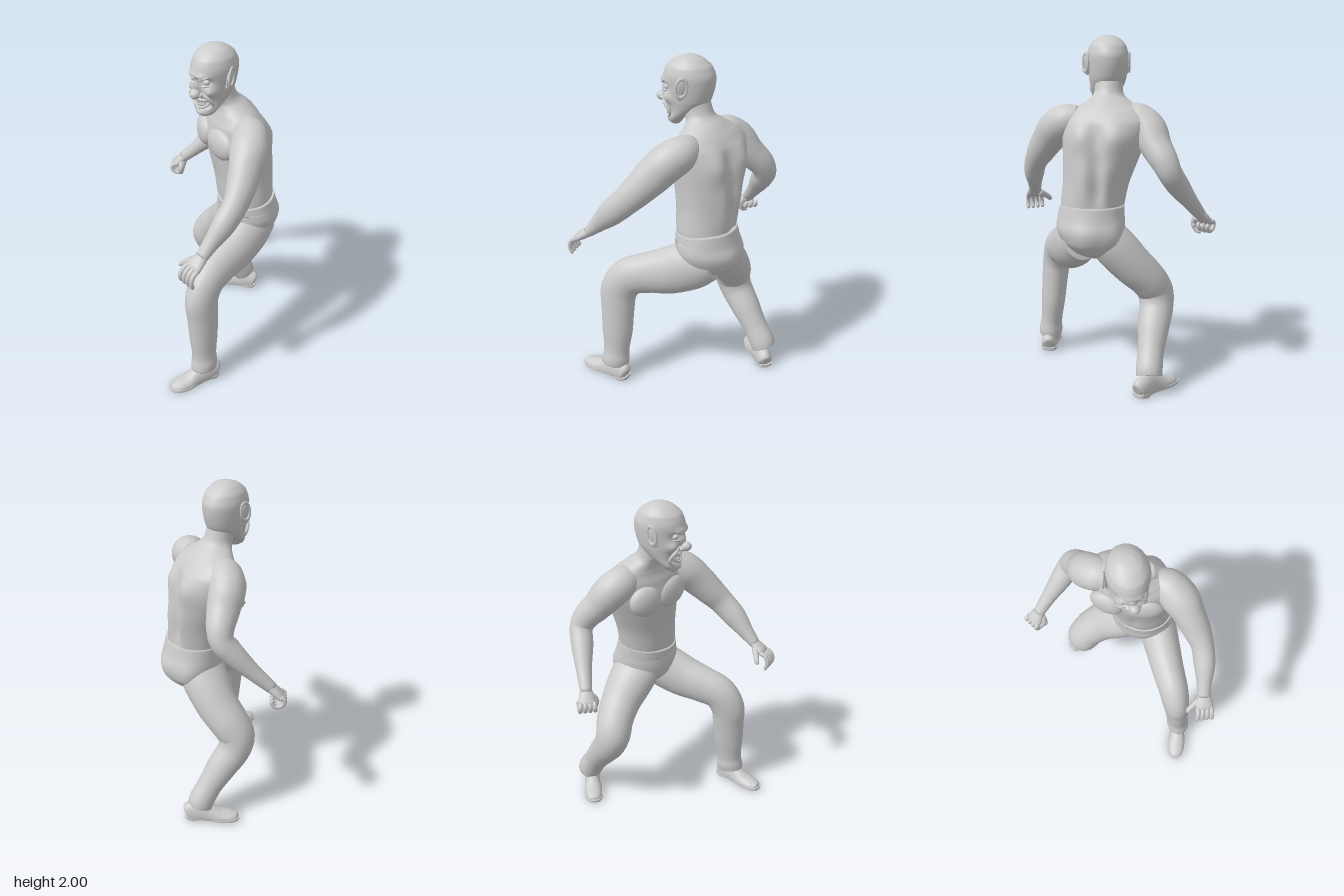
import * as THREE from 'three';

const V = (x, y, z) => new THREE.Vector3(x, y, z);
const grey = new THREE.MeshStandardMaterial({ color: 0xcccccc });

// Smooth skin through stations [x, y, z, radiusA, radiusB, yaw]; axis A follows ref
function loft(st, { ref = V(1, 0, 0), flat = false, segs = 28, per = 7 } = {}) {
  const path = new THREE.CatmullRomCurve3(st.map(s => V(s[0], s[1], s[2])));
  const size = new THREE.CatmullRomCurve3(st.map(s => V(s[3], s[4] ?? s[3], s[5] ?? 0)));
  const n = (st.length - 1) * per, pos = [], idx = [];
  for (let i = 0; i <= n; i++) {
    const p = path.getPoint(i / n), r = size.getPoint(i / n);
    const T = flat ? V(0, 1, 0) : path.getTangent(i / n);
    const A = ref.clone().applyAxisAngle(V(0, 1, 0), r.z);
    A.addScaledVector(T, -A.dot(T)).normalize();
    const B = T.clone().cross(A);
    for (let j = 0; j < segs; j++) {
      const a = j / segs * Math.PI * 2;
      const q = p.clone().addScaledVector(A, Math.max(r.x, 0) * Math.cos(a)).addScaledVector(B, Math.max(r.y, 0) * Math.sin(a));
      pos.push(q.x, q.y, q.z);
      if (i < n) {
        const a0 = i * segs + j, a1 = i * segs + (j + 1) % segs;
        idx.push(a0, a1, a0 + segs, a1, a1 + segs, a0 + segs);
      }
    }
  }
  const c = (n + 1) * segs, e = path.getPoint(1);
  pos.push(st[0][0], st[0][1], st[0][2], e.x, e.y, e.z);
  for (let j = 0; j < segs; j++) {
    const k = (j + 1) % segs;
    idx.push(c, k, j, c + 1, n * segs + j, n * segs + k);
  }
  const g = new THREE.BufferGeometry();
  g.setAttribute('position', new THREE.Float32BufferAttribute(pos, 3));
  g.setIndex(idx);
  g.computeVertexNormals();
  return g;
}

// Push vertices near a point along a vector with a soft falloff
function bump(g, c, r, push) {
  const p = g.attributes.position;
  for (let i = 0; i < p.count; i++) {
    const d = ((p.getX(i) - c[0]) / r[0]) ** 2 + ((p.getY(i) - c[1]) / r[1]) ** 2 + ((p.getZ(i) - c[2]) / r[2]) ** 2;
    const w = Math.exp(-d);
    p.setXYZ(i, p.getX(i) + push[0] * w, p.getY(i) + push[1] * w, p.getZ(i) + push[2] * w);
  }
  g.computeVertexNormals();
}

function add(parent, name, g, pos = [0, 0, 0], rot = [0, 0, 0]) {
  const m = new THREE.Mesh(g, grey);
  m.name = name;
  m.position.set(...pos);
  m.rotation.set(...rot);
  parent.add(m);
  return m;
}
const blob = (parent, name, pos, r, rot) =>
  add(parent, name, new THREE.SphereGeometry(1, 24, 16), pos, rot).scale.set(...r);

// Hand in its own axes: W across the knuckles, N out of the back, T towards the fingers
function hand(root, name, o, T, W, side, finger, thumb) {
  const g = new THREE.Group();
  g.name = name;
  root.add(g);
  T.normalize();
  W.addScaledVector(T, -W.dot(T)).normalize();
  const N = T.clone().cross(W);
  const at = (w, n, t, a, b) => {
    const p = o.clone().addScaledVector(W, w).addScaledVector(N, n).addScaledVector(T, t);
    return [p.x, p.y, p.z, a, b ?? a];
  };
  add(g, 'palm', loft([at(0, 0, -0.02, 0.034, 0.03), at(0, 0, 0.03, 0.046, 0.028), at(0, 0, 0.065, 0.052, 0.024), at(0, 0, 0.085, 0.042, 0.014)], { ref: W, segs: 18 }));
  for (let i = 0; i < 4; i++) {
    const w = (i - 1.5) * 0.026;
    add(g, 'finger', loft(finger.map(([n, t], k) => at(w * (1 + k * 0.06), n, t, k === finger.length - 1 ? 0.007 : 0.0145 - k * 0.0008)), { ref: W, segs: 10, per: 4 }));
  }
  add(g, 'thumb', loft(thumb.map(([w, n, t], k) => at(w * side, n, t, [0.022, 0.018, 0.015, 0.007][k])), { ref: N, segs: 10, per: 4 }));
}

// Shoe pointing along +z, ankle over the origin
function shoe(root, name, pos, yaw) {
  const g = new THREE.Group();
  g.name = name;
  g.position.set(...pos);
  g.rotation.y = yaw;
  root.add(g);
  const upper = loft([
    [0, 0.04, -0.098, 0.02, 0.03], [0, 0.045, -0.085, 0.043, 0.06], [0, 0.04, -0.02, 0.049, 0.088], [0, 0.03, 0.05, 0.05, 0.075],
    [0, 0.025, 0.12, 0.056, 0.045], [0, 0.022, 0.18, 0.05, 0.034], [0, 0.02, 0.215, 0.032, 0.025], [0, 0.02, 0.226, 0.005, 0.005]]);
  const p = upper.attributes.position;
  for (let i = 0; i < p.count; i++) p.setY(i, Math.max(p.getY(i), 0.015));
  upper.computeVertexNormals();
  add(g, 'shoeUpper', upper);
  const half = [[0.03, 0.1], [0.048, 0.07], [0.046, 0], [0.05, -0.06], [0.061, -0.12], [0.052, -0.19], [0.025, -0.228]];
  const outline = [...half, ...half.map(([x, y]) => [-x, y]).reverse()].map(q => new THREE.Vector2(...q));
  const shape = new THREE.Shape(new THREE.SplineCurve([...outline, outline[0]]).getPoints(48));
  const sole = new THREE.ExtrudeGeometry(shape, { depth: 0.014, bevelEnabled: false });
  add(g, 'sole', sole.rotateX(-Math.PI / 2), [0, 0.01, 0]);
  add(g, 'heel', new THREE.CylinderGeometry(0.047, 0.047, 0.02, 24), [0, 0.01, -0.052]);
}

function buildHead(root) {
  const head = new THREE.Group();
  head.name = 'head';
  head.position.x = 0.07;
  root.add(head);
  // Rows: height, back z, front z, half width
  const rows = [[1.605, 0, 0.045, 0.025], [1.622, -0.015, 0.058, 0.055], [1.65, -0.04, 0.063, 0.075], [1.7, -0.12, 0.066, 0.092], [1.75, -0.175, 0.076, 0.104],
    [1.82, -0.198, 0.085, 0.113], [1.88, -0.204, 0.092, 0.117], [1.94, -0.18, 0.072, 0.104], [1.98, -0.13, 0.02, 0.07], [1.996, -0.09, -0.025, 0.035], [2, -0.06, -0.055, 0.003]];
  const skull = loft(rows.map(([y, b, f, w]) => [0, y, (b + f) / 2, w, (f - b) / 2]), { flat: true, segs: 64, per: 8 });
  bump(skull, [0, 1.69, 0.07], [0.058, 0.024, 0.06], [0, 0, -0.035]);
  bump(skull, [0, 1.8, 0.09], [0.02, 0.045, 0.05], [0, 0, 0.022]);
  bump(skull, [0, 1.63, 0.06], [0.035, 0.02, 0.05], [0, 0, 0.012]);
  for (const s of [-1, 1]) {
    bump(skull, [s * 0.045, 1.828, 0.08], [0.028, 0.02, 0.06], [0, 0, -0.026]);
    bump(skull, [s * 0.04, 1.862, 0.09], [0.035, 0.014, 0.05], [0, -0.006, 0.018]);
    bump(skull, [s * 0.07, 1.768, 0.05], [0.028, 0.026, 0.05], [s * 0.008, 0, 0.022]);
    blob(head, 'eyeball', [s * 0.044, 1.825, 0.056], [0.021, 0.018, 0.02]);
    blob(head, 'brow', [s * 0.042, 1.852, 0.078], [0.034, 0.009, 0.016], [0, s * 0.45, s * 0.4]);
    blob(head, 'lowerLid', [s * 0.046, 1.805, 0.067], [0.026, 0.007, 0.012], [0, s * 0.45, s * 0.15]);
    blob(head, 'nostril', [s * 0.026, 1.752, 0.086], [0.017, 0.014, 0.02]);
    add(head, 'cheekFold', loft([[s * 0.028, 1.765, 0.078, 0.006], [s * 0.062, 1.737, 0.067, 0.011], [s * 0.077, 1.69, 0.036, 0.009], [s * 0.05, 1.65, 0.047, 0.005]], { ref: V(0, 0, 1), segs: 10 }));
    // Ear: shell, rim and lobe
    blob(head, 'ear', [s * 0.119, 1.838, -0.045], [0.013, 0.055, 0.032], [0, s * 0.3, -s * 0.15]);
    const rim = add(head, 'earRim', new THREE.TorusGeometry(0.03, 0.007, 8, 24), [s * 0.128, 1.845, -0.048], [0, s * (Math.PI / 2 + 0.3), -s * 0.15]);
    rim.scale.y = 1.7;
    blob(head, 'earLobe', [s * 0.115, 1.79, -0.032], [0.01, 0.016, 0.014]);
  }
  blob(head, 'nose', [0.004, 1.758, 0.103], [0.029, 0.027, 0.031]);
  // Grinning mouth
  const arc = (y, lift, z) => [-1, -0.5, 0, 0.5, 1].map(u => [u * 0.064, y + lift * u * u, z - 0.03 * u * u, 0.008]);
  add(head, 'upperLip', loft(arc(1.715, 0.002, 0.07), { ref: V(0, 0, 1), segs: 10 }));
  add(head, 'lowerLip', loft(arc(1.663, 0.046, 0.066), { ref: V(0, 0, 1), segs: 10 }));
  for (let i = -3; i <= 3; i++) {
    const u = i / 3.6;
    blob(head, 'upperTooth', [u * 0.056, 1.704, 0.063 - 0.024 * u * u], [0.0075, 0.014, 0.007]);
    blob(head, 'lowerTooth', [u * 0.05, 1.677 + 0.02 * u * u, 0.06 - 0.022 * u * u], [0.007, 0.011, 0.007]);
  }
  add(head, 'skull', skull);
}

export function createModel() {
  const root = new THREE.Group();
  root.name = 'lungingFigure';
  buildHead(root);

  // Torso and neck, turned towards the model's right
  const torso = loft([
    [0.2, 1.0, -0.2, 0.18, 0.155, -0.45], [0.195, 1.06, -0.195, 0.183, 0.16, -0.45], [0.175, 1.18, -0.195, 0.19, 0.165, -0.47],
    [0.15, 1.3, -0.195, 0.212, 0.175, -0.47], [0.125, 1.43, -0.19, 0.24, 0.175, -0.47], [0.11, 1.53, -0.185, 0.25, 0.148, -0.47],
    [0.1, 1.59, -0.175, 0.2, 0.12, -0.45], [0.09, 1.64, -0.15, 0.12, 0.098, -0.35], [0.08, 1.68, -0.115, 0.084, 0.085, -0.15], [0.07, 1.77, -0.085, 0.078, 0.082, 0]],
  { flat: true, segs: 56 });
  for (const y of [1.15, 1.3, 1.45]) bump(torso, [0.21, y, -0.35], [0.035, 0.09, 0.07], [-0.011, 0, 0.022]);
  for (const s of [-1, 1]) {
    bump(torso, [0.2 + s * 0.1, 1.46, -0.33 + s * 0.05], [0.07, 0.09, 0.07], [0.011, 0, -0.022]);
    bump(torso, [0.215 + s * 0.06, 1.2, -0.35 + s * 0.03], [0.045, 0.13, 0.06], [0.006, 0, -0.012]);
  }
  bump(torso, [0.115, 1.17, -0.04], [0.025, 0.14, 0.06], [0.004, 0, -0.008]);
  add(root, 'torso', torso);
  blob(root, 'leftPectoral', [0.15, 1.425, -0.025], [0.122, 0.092, 0.05], [0, -0.3, 0.1]);
  blob(root, 'rightPectoral', [-0.035, 1.425, -0.1], [0.1, 0.092, 0.05], [0, -0.65, -0.1]);

  // Trousers
  const pelvis = loft([
    [0.19, 0.755, -0.23, 0.05, 0.05, -0.4], [0.195, 0.79, -0.225, 0.12, 0.12, -0.4], [0.205, 0.85, -0.215, 0.175, 0.165, -0.4],
    [0.212, 0.92, -0.21, 0.195, 0.18, -0.42], [0.208, 0.98, -0.205, 0.194, 0.173, -0.45], [0.2, 1.06, -0.198, 0.187, 0.166, -0.45]],
  { flat: true, segs: 48 });
  const pp = pelvis.attributes.position;
  for (let i = 0; i < pp.count; i++) if (pp.getY(i) > 1) pp.setY(i, pp.getY(i) - Math.max(0, pp.getZ(i) + 0.25) * 0.12);
  pelvis.computeVertexNormals();
  bump(pelvis, [0.28, 0.87, -0.38], [0.09, 0.1, 0.1], [0.01, 0, -0.02]);
  bump(pelvis, [0.1, 0.87, -0.38], [0.09, 0.1, 0.1], [-0.005, 0, -0.03]);
  add(root, 'trouserSeat', pelvis);
  add(root, 'leftTrouserLeg', loft([
    [0.265, 0.87, -0.24, 0.115, 0.125], [0.285, 0.825, -0.13, 0.118, 0.15], [0.295, 0.77, 0, 0.11, 0.143], [0.3, 0.735, 0.13, 0.1, 0.125],
    [0.31, 0.69, 0.25, 0.092, 0.115], [0.318, 0.6, 0.307, 0.086, 0.112], [0.33, 0.48, 0.315, 0.08, 0.102],
    [0.343, 0.33, 0.318, 0.074, 0.095], [0.355, 0.19, 0.325, 0.066, 0.08], [0.36, 0.13, 0.33, 0.073, 0.085], [0.362, 0.095, 0.335, 0.07, 0.086]]));
  add(root, 'rightTrouserLeg', loft([
    [0.14, 0.88, -0.23, 0.12, 0.15], [0.07, 0.8, -0.255, 0.125, 0.145], [-0.02, 0.7, -0.28, 0.118, 0.128], [-0.11, 0.61, -0.283, 0.108, 0.118],
    [-0.16, 0.53, -0.275, 0.105, 0.11], [-0.16, 0.45, -0.3, 0.1, 0.1], [-0.12, 0.34, -0.375, 0.09, 0.09],
    [-0.08, 0.22, -0.455, 0.075, 0.076], [-0.06, 0.145, -0.5, 0.076, 0.08], [-0.055, 0.11, -0.515, 0.074, 0.076]], { ref: V(1, 0, 0.2) }));
  shoe(root, 'leftShoe', [0.365, 0, 0.34], -0.3);
  shoe(root, 'rightShoe', [-0.055, 0, -0.5], -1.03);

  // Arms
  add(root, 'leftArm', loft([
    [0.24, 1.54, -0.13, 0.07], [0.31, 1.52, -0.085, 0.1], [0.36, 1.48, -0.02, 0.107], [0.4, 1.41, 0.05, 0.092, 0.103], [0.435, 1.325, 0.13, 0.08, 0.09],
    [0.455, 1.26, 0.195, 0.066, 0.08], [0.455, 1.18, 0.28, 0.062, 0.074], [0.44, 1.09, 0.37, 0.044, 0.048], [0.43, 1.03, 0.43, 0.037, 0.032]]));
  add(root, 'rightArm', loft([
    [0.02, 1.55, -0.2, 0.07], [-0.055, 1.53, -0.235, 0.1], [-0.105, 1.485, -0.285, 0.102], [-0.13, 1.4, -0.355, 0.088, 0.092], [-0.16, 1.32, -0.425, 0.077],
    [-0.185, 1.26, -0.445, 0.068], [-0.24, 1.185, -0.415, 0.065], [-0.335, 1.075, -0.36, 0.046], [-0.42, 0.98, -0.305, 0.034]], { ref: V(0.55, 0, 0.83) }));
  hand(root, 'leftHand', V(0.43, 1.03, 0.43), V(-0.1, -0.55, 0.83), V(1, 0, 0), -1,
    [[0, 0.07], [0.004, 0.11], [-0.02, 0.145], [-0.055, 0.155], [-0.062, 0.15]],
    [[0.025, -0.008, 0.025], [0.065, -0.018, 0.06], [0.092, -0.03, 0.09], [0.1, -0.036, 0.105]]);
  hand(root, 'rightFist', V(-0.42, 0.98, -0.305), V(-0.61, -0.69, 0.39), V(0.55, -0.02, 0.83), 1,
    [[0.006, 0.06], [0.008, 0.09], [-0.025, 0.102], [-0.055, 0.08], [-0.048, 0.045], [-0.03, 0.04]],
    [[0.03, -0.012, 0.015], [0.055, -0.035, 0.045], [0.04, -0.062, 0.075], [0.01, -0.07, 0.085]]);
  return root;
}
